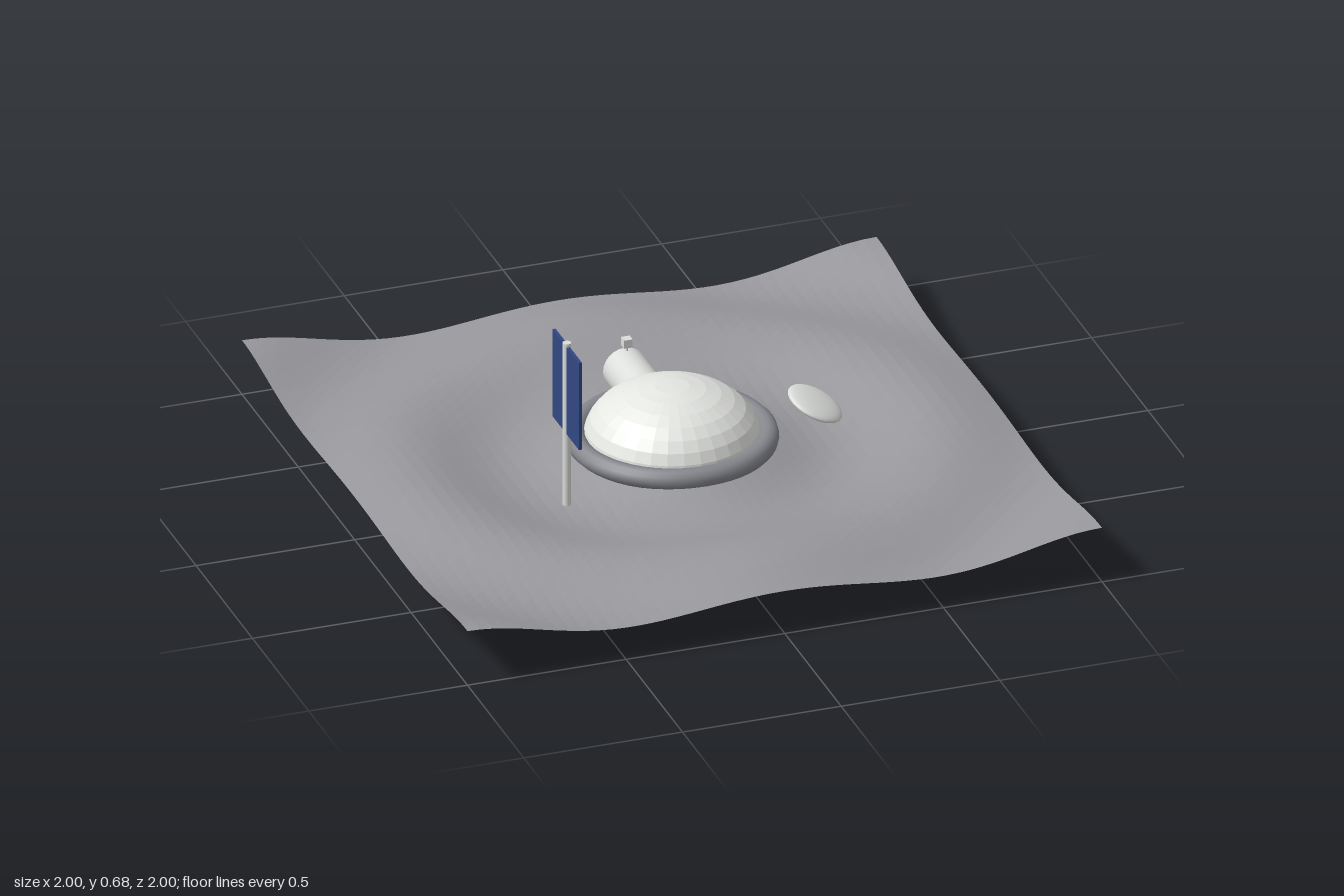
import * as THREE from 'three';

export function createModel() {
  const model = new THREE.Group();
  const mat = (name, color, extra = {}) => {
    const m = new THREE.MeshStandardMaterial({ color, ...extra });
    m.name = name;
    return m;
  };
  const ground = mat('groundGrey', 0x98989d, { side: THREE.DoubleSide, flatShading: true });
  const shell = mat('shellWhite', 0xe4e6e2, { flatShading: true });
  const smoothShell = mat('paleGrey', 0xdcdedb);
  const ringGrey = mat('ringGrey', 0x85878d);
  const blue = mat('panelBlue', 0x324782);

  const add = (name, geometry, material, x = 0, y = 0, z = 0) => {
    const mesh = new THREE.Mesh(geometry, material);
    mesh.name = name;
    mesh.position.set(x, y, z);
    model.add(mesh);
    return mesh;
  };

  // Rippled ground sheet: round waves plus a gentle swell along x
  const sheet = new THREE.PlaneGeometry(2, 2, 48, 48).rotateX(-Math.PI / 2);
  const p = sheet.attributes.position;
  for (let i = 0; i < p.count; i++) {
    const x = p.getX(i), z = p.getZ(i);
    const ripple = 0.025 * Math.sin(10 * Math.hypot(x, z));
    p.setY(i, 0.143 + ripple + 0.0125 * Math.cos(2 * Math.PI * x));
  }
  sheet.computeVertexNormals();
  add('terrain', sheet, ground);

  // Habitat dome with its base ring
  add('dome', new THREE.SphereGeometry(0.265, 32, 16).scale(1, 0.651, 1), shell, 0, 0.1725, 0);
  add('baseRing', new THREE.TorusGeometry(0.287, 0.032, 12, 48).rotateX(Math.PI / 2), ringGrey, 0, 0.177, 0);

  // Airlock tunnel at the back, its door and a small beacon
  const tube = (r, length) => new THREE.CylinderGeometry(r, r, length, 24).rotateX(Math.PI / 2);
  add('airlockTunnel', tube(0.068, 0.22), smoothShell, 0, 0.197, -0.31);
  add('airlockDoor', tube(0.058, 0.012), smoothShell, 0, 0.197, -0.424);
  add('beacon', new THREE.BoxGeometry(0.027, 0.027, 0.027), smoothShell, 0, 0.293, -0.4);
  add('beaconPost', new THREE.CylinderGeometry(0.003, 0.003, 0.03, 8), smoothShell, 0, 0.27, -0.4);

  // Solar panel on a mast
  add('mast', new THREE.CylinderGeometry(0.013, 0.013, 0.54, 12), smoothShell, -0.42, 0.41, 0.25);
  add('solarPanel', new THREE.BoxGeometry(0.01, 0.29, 0.235), blue, -0.42, 0.525, 0.2525);

  // Tilted dish
  const dish = add('dish', new THREE.SphereGeometry(0.09, 24, 16).scale(1, 0.23, 1), smoothShell, 0.348, 0.362, 0.288);
  dish.rotation.set(0.2, 0, -0.42);

  return model;
}
